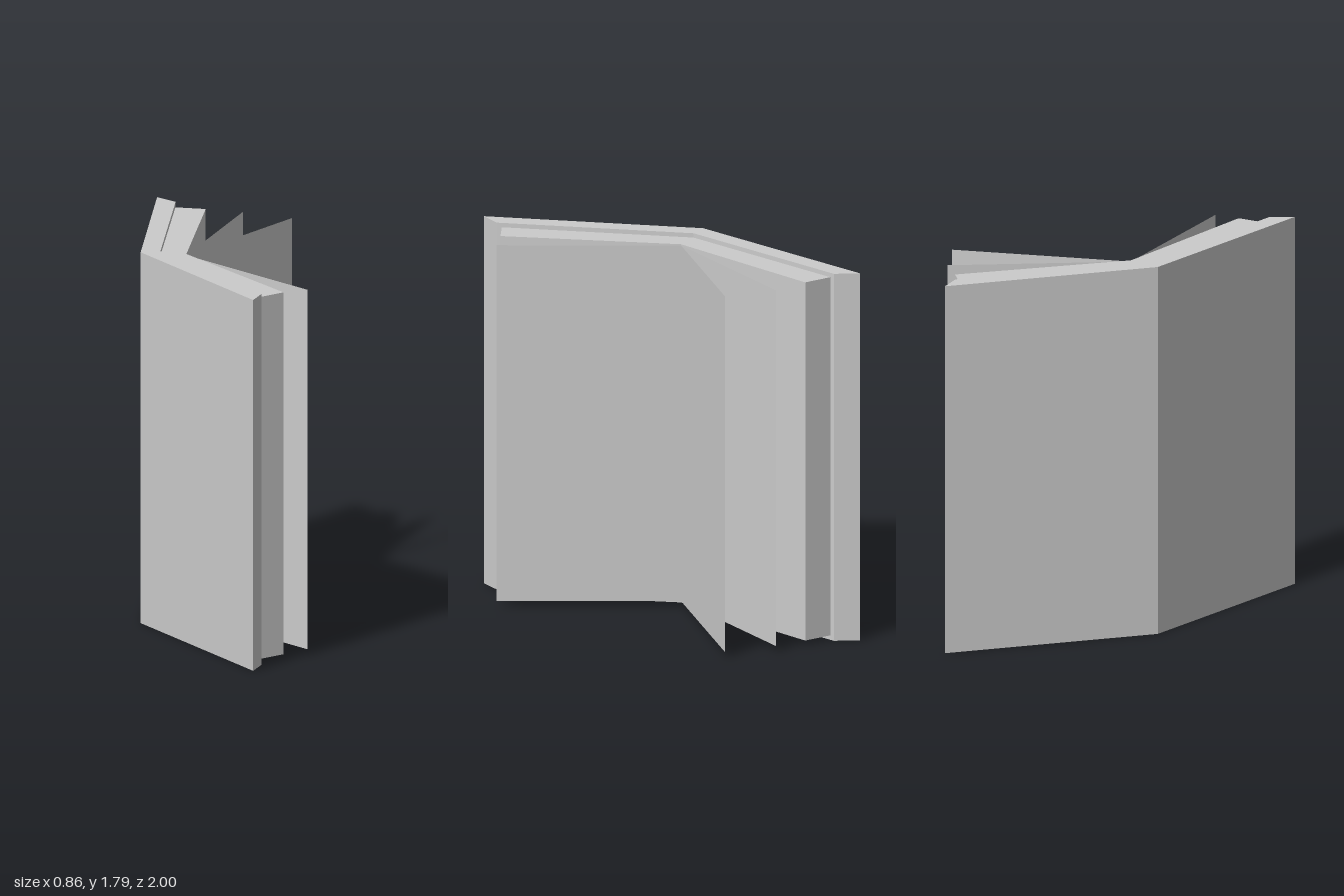
import * as THREE from 'three';

const mat = new THREE.MeshStandardMaterial({ color: 0xcccccc, flatShading: true });
const leafMat = new THREE.MeshStandardMaterial({ color: 0xcccccc, side: THREE.DoubleSide });

// Upright V-shaped slab, mirrored in z. Points are [x, z] for the z >= 0 half,
// running from the outer fold to the inner fold.
function foldedSlab(name, half, y0, y1) {
  const mirrored = half.slice(1, -1).reverse().map(([x, z]) => [x, -z]);
  const shape = new THREE.Shape([...half, ...mirrored].map(([x, z]) => new THREE.Vector2(x, z)));
  const geo = new THREE.ExtrudeGeometry(shape, { depth: y1 - y0, bevelEnabled: false });
  geo.rotateX(-Math.PI / 2).translate(0, y0, 0);
  const mesh = new THREE.Mesh(geo, mat);
  mesh.name = name;
  return mesh;
}

// Single loose sheet, hinged at the inner fold and reaching to (x, z)
function looseLeaf(name, hingeX, x, z, y0, y1) {
  const length = Math.hypot(x - hingeX, z);
  const geo = new THREE.PlaneGeometry(length, y1 - y0).translate(length / 2, (y0 + y1) / 2, 0);
  const mesh = new THREE.Mesh(geo, leafMat);
  mesh.position.x = hingeX;
  mesh.rotation.y = Math.atan2(-z, x - hingeX);
  mesh.name = name;
  return mesh;
}

export function createModel() {
  const book = new THREE.Group();
  book.name = 'openBook';
  const foldX = -0.21;

  // Cover with slanted fore edges
  book.add(foldedSlab('cover', [[-0.43, 0], [-0.12, 1], [-0.055, 0.895], [-0.335, 0]], 0, 1.793));

  // Page block resting against the inside of the cover
  book.add(foldedSlab('pageBlock', [[-0.335, 0], [-0.061, 0.873], [0.07, 0.81], [foldX, 0]], 0.022, 1.772));

  // Three lifted pages fanning out from the fold
  [[0.195, 0.765], [0.43, -0.575], [0.232, -0.74]].forEach(([x, z], i) => {
    book.add(looseLeaf('looseLeaf' + (i + 1), foldX, x, z, 0.028, 1.766));
  });
  return book;
}
